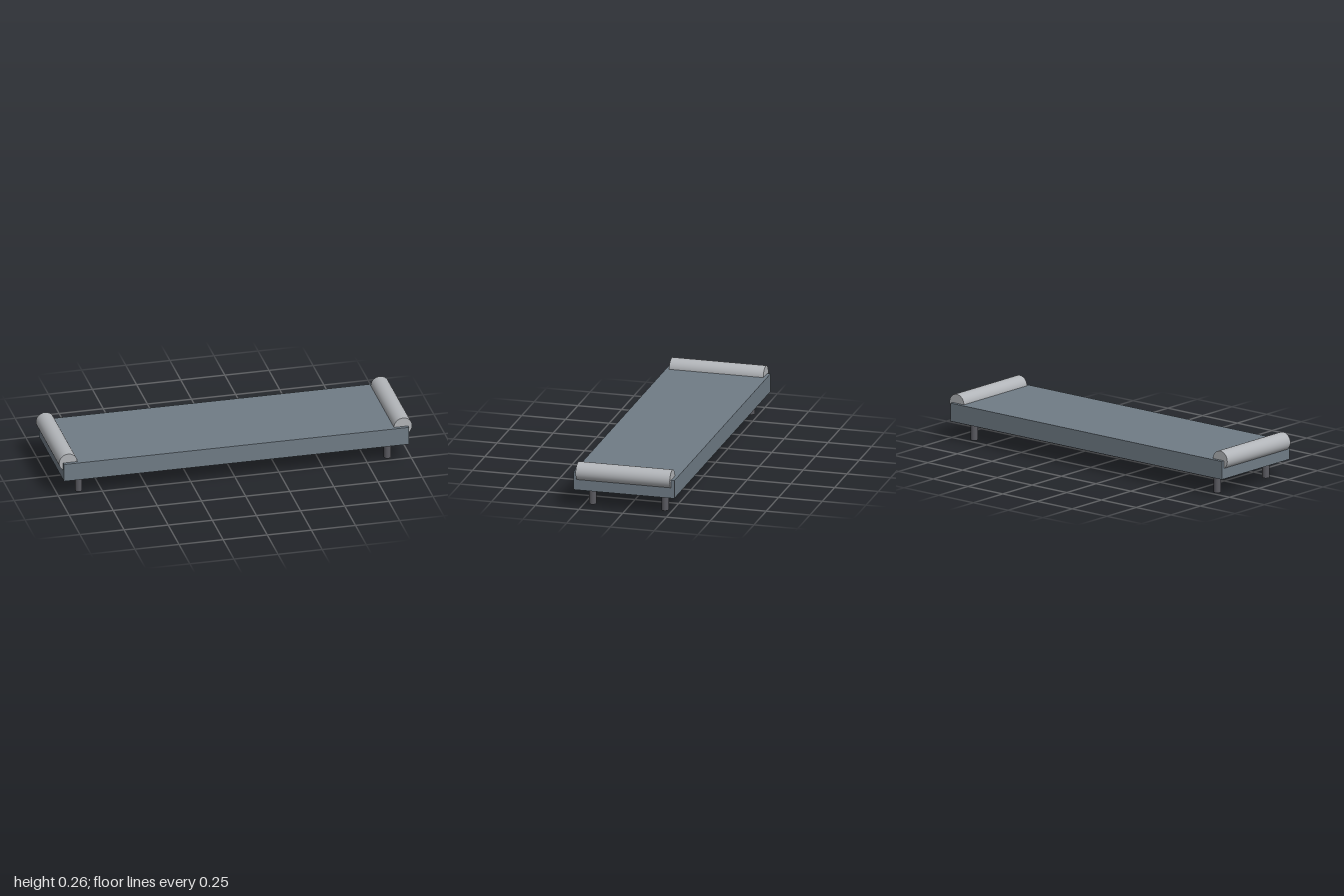
import * as THREE from 'three';

export function createModel() {
  const group = new THREE.Group();
  const material = (name, color) => {
    const m = new THREE.MeshStandardMaterial({ color });
    m.name = name;
    return m;
  };
  const slate = material('slate upholstery', 0x707c86);
  const paleGrey = material('pale grey fabric', 0xb2b5b9);
  const darkMetal = material('dark metal', 0x5a5a60);

  const add = (name, geometry, mat, x, y, z) => {
    const mesh = new THREE.Mesh(geometry, mat);
    mesh.name = name;
    mesh.position.set(x, y, z);
    group.add(mesh);
  };

  const legHeight = 0.104;
  const seatHeight = 0.103;
  const seatTop = legHeight + seatHeight;

  // Long flat seat
  add('seat', new THREE.BoxGeometry(1.954, seatHeight, 0.577), slate, 0, legHeight + seatHeight / 2, 0);

  // A bolster half sunk into each end, and a leg near each corner
  const bolster = new THREE.CylinderGeometry(0.0515, 0.0515, 0.538, 32).rotateX(Math.PI / 2);
  const leg = new THREE.CylinderGeometry(0.0205, 0.0205, legHeight, 24);
  for (const [side, sx] of [['left', 1], ['right', -1]]) {
    add(side + 'Bolster', bolster, paleGrey, sx * 0.9485, seatTop, 0);
    for (const [end, sz] of [['Front', 1], ['Back', -1]]) {
      add(side + end + 'Leg', leg, darkMetal, sx * 0.875, legHeight / 2, sz * 0.207);
    }
  }
  return group;
}
